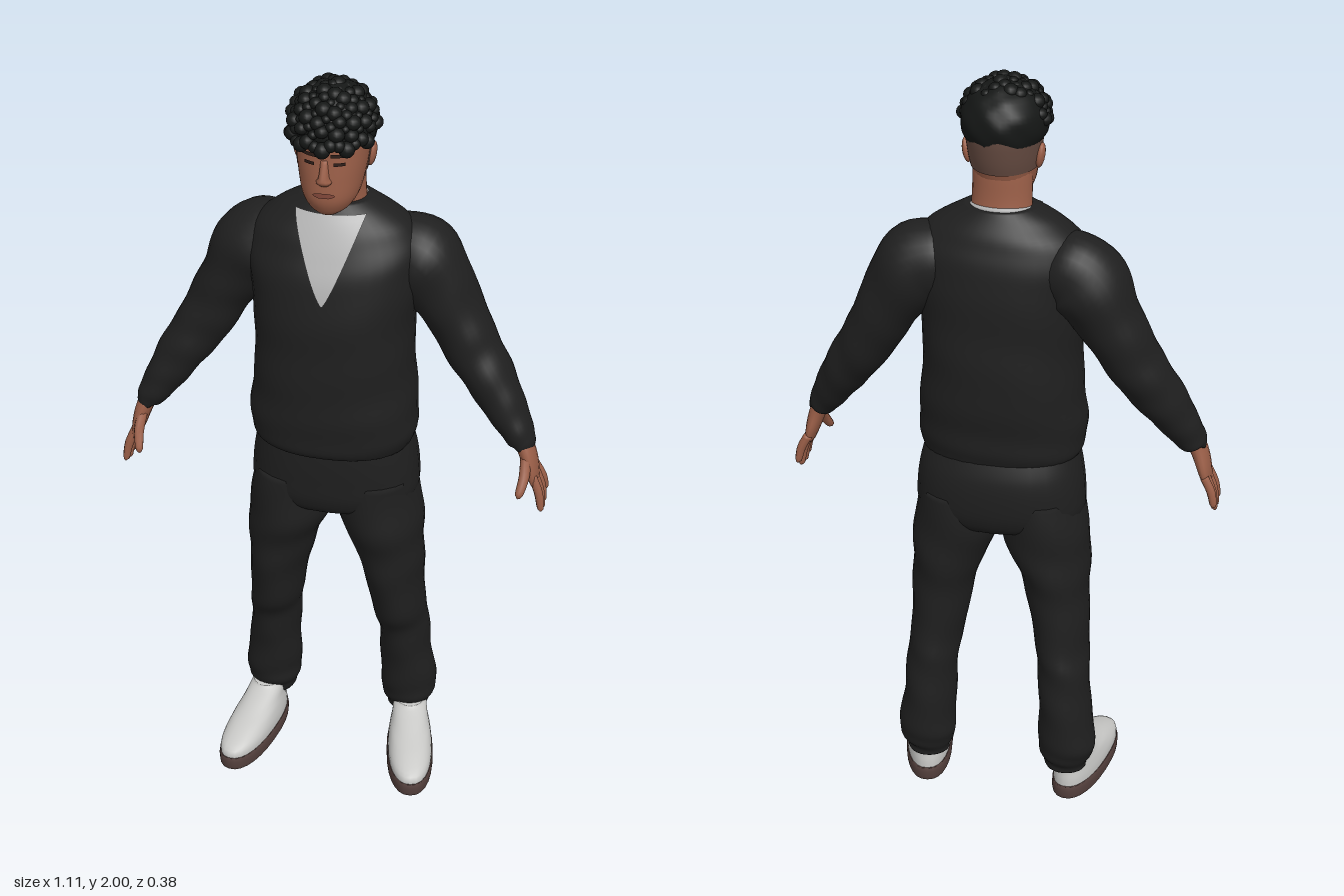
import * as THREE from 'three';

const mat = (name, color, side = THREE.FrontSide) => {
  const m = new THREE.MeshStandardMaterial({ color, side });
  m.name = name;
  return m;
};
const M = {
  cloth: mat('black cloth', 0x1f1f1f),
  hair: mat('black hair', 0x151716),
  skin: mat('skin', 0x9b5f48),
  fade: mat('shaved hair', 0x674c42, THREE.DoubleSide),
  shirt: mat('grey shirt', 0xb4b4b4, THREE.DoubleSide),
  shoe: mat('white shoe', 0xc8c8c6),
  sole: mat('brown sole', 0x54403d),
  lips: mat('lips', 0x84493b, THREE.DoubleSide),
  brow: mat('brow and eye', 0x2c1d18, THREE.DoubleSide),
};

// Smooth interpolation of cross-section rows [x, y, z, rx, rz, exponent]
function rowAt(rows, t) {
  const f = Math.min(Math.max(t, 0), 1) * (rows.length - 1);
  const i = Math.min(Math.floor(f), rows.length - 2), s = f - i;
  const r = k => rows[Math.min(Math.max(k, 0), rows.length - 1)];
  return [0, 1, 2, 3, 4, 5].map(k => {
    const [a, b, c, d] = [i - 1, i, i + 1, i + 2].map(j => r(j)[k] ?? 2);
    return b + 0.5 * s * (c - a + s * (2 * a - 5 * b + 4 * c - d + s * (3 * (b - c) + d - a)));
  });
}
// Row of an upward loft at a given height
function rowAtY(rows, y) {
  let lo = 0, hi = 1;
  for (let i = 0; i < 24; i++) {
    const m = (lo + hi) / 2;
    if (rowAt(rows, m)[1] < y) lo = m; else hi = m;
  }
  return rowAt(rows, lo);
}

// Surface from point(u, v); faces look along du x dv
function grid(point, nu, nv, wrap = false) {
  const pos = [], idx = [], cols = wrap ? nu : nu + 1;
  for (let j = 0; j <= nv; j++)
    for (let i = 0; i < cols; i++) pos.push(...point(i / nu, j / nv));
  for (let j = 0; j < nv; j++)
    for (let i = 0; i < nu; i++) {
      const n = (i + 1) % cols, a = j * cols + i, b = j * cols + n, c = a + cols, d = b + cols;
      idx.push(a, b, d, a, d, c);
    }
  if (wrap) {
    for (const j of [0, nv]) {
      const mid = [0, 0, 0];
      for (let i = 0; i < cols; i++) for (let k = 0; k < 3; k++) mid[k] += pos[(j * cols + i) * 3 + k] / cols;
      const c = pos.length / 3;
      pos.push(...mid);
      for (let i = 0; i < cols; i++) {
        const a = j * cols + i, b = j * cols + (i + 1) % cols;
        idx.push(...(j ? [a, b, c] : [b, a, c]));
      }
    }
  }
  const g = new THREE.BufferGeometry();
  g.setAttribute('position', new THREE.Float32BufferAttribute(pos, 3));
  g.setIndex(idx);
  g.computeVertexNormals();
  return g;
}

// Closed loft; flat keeps rings level, otherwise they follow the path
function loft(rows, { flat = true, sides = 28, steps = 40, wrinkle = 0 } = {}) {
  const down = rows[rows.length - 1][1] < rows[0][1] ? -1 : 1;
  return grid((u, v) => {
    const [x, y, z, rx, rz, n] = rowAt(rows, v);
    const t = new THREE.Vector3(0, down, 0);
    if (!flat) {
      const p = rowAt(rows, v - 0.02), q = rowAt(rows, v + 0.02);
      t.set(q[0] - p[0], q[1] - p[1], q[2] - p[2]).normalize();
    }
    const w = new THREE.Vector3(0, 0, 1).addScaledVector(t, -t.z).normalize();
    const s = new THREE.Vector3().crossVectors(w, t);
    const a = u * Math.PI * 2, sq = k => Math.sign(k) * Math.abs(k) ** (2 / n);
    const f = 1 + wrinkle * (Math.sin(v * 47 + 2 * Math.sin(a + 1)) + 0.7 * Math.sin(v * 29 + a * 3));
    return new THREE.Vector3(x, y, z)
      .addScaledVector(s, sq(Math.cos(a)) * rx * f).addScaledVector(w, sq(Math.sin(a)) * rz * f).toArray();
  }, sides, steps, true);
}

// Thin patch lying on the front of a loft
function frontPatch(rows, cx, y0, y1, half, off = 0.004) {
  return grid((u, v) => {
    const y = y0 + (y1 - y0) * v, x = cx + (2 * u - 1) * half(v);
    const [, , z, rx, rz, n] = rowAtY(rows, y);
    return [x, y, z + off + rz * Math.max(0, 1 - Math.abs(x / rx) ** n) ** (1 / n)];
  }, 12, 16);
}

export function createModel() {
  const model = new THREE.Group();
  const add = (name, geo, material, parent = model) => {
    const m = new THREE.Mesh(geo, material);
    m.name = name;
    parent.add(m);
    return m;
  };
  const ball = (name, material, p, s, parent) => {
    const m = add(name, new THREE.SphereGeometry(1, 14, 10), material, parent);
    m.position.set(...p);
    m.scale.set(...s);
    return m;
  };

  // Sweater body and shirt in the V neck
  const torso = [
    [0, 1.015, -0.015, 0.17, 0.125, 2.3], [0, 1.025, -0.015, 0.2, 0.148, 2.3], [0, 1.06, -0.015, 0.212, 0.158, 2.3],
    [0, 1.12, -0.015, 0.214, 0.162, 2.3], [0, 1.2, -0.02, 0.206, 0.168, 2.3], [0, 1.3, -0.02, 0.2, 0.168, 2.3],
    [0, 1.4, -0.02, 0.204, 0.164, 2.3], [0, 1.5, -0.025, 0.214, 0.154, 2.3], [0, 1.57, -0.032, 0.218, 0.135, 2.2],
    [0, 1.62, -0.035, 0.195, 0.115, 2.1], [0, 1.66, -0.035, 0.145, 0.093, 2], [0, 1.69, -0.035, 0.088, 0.072, 2],
  ];
  add('sweater', loft(torso, { sides: 40, steps: 60, wrinkle: 0.006 }), M.cloth);
  add('shirt', frontPatch(torso, 0, 1.465, 1.672, v => 0.002 + 0.086 * v ** 0.85, 0.006), M.shirt);
  const collar = add('shirtCollar', new THREE.TorusGeometry(0.075, 0.008, 8, 32), M.shirt);
  collar.rotation.x = Math.PI / 2 + 0.15;
  collar.position.set(0, 1.68, -0.03);
  collar.scale.y = 0.88;

  // Trousers
  add('hips', loft([
    [0, 0.8, -0.035, 0.06, 0.06], [0, 0.83, -0.035, 0.19, 0.12, 2.2], [0, 0.87, -0.036, 0.217, 0.143, 2.3],
    [0, 0.93, -0.037, 0.217, 0.149, 2.3], [0, 0.99, -0.034, 0.209, 0.147, 2.3], [0, 1.05, -0.025, 0.195, 0.135, 2.3],
  ]), M.cloth);

  for (const [side, label] of [[1, 'left'], [-1, 'right']]) {
    const flip = rows => rows.map(([x, ...rest]) => [x * side, ...rest]);
    const limb = new THREE.Group();
    limb.name = label + 'Limbs';
    model.add(limb);

    add(label + 'TrouserLeg', loft(flip([
      [0.108, 0.92, -0.036, 0.1, 0.135], [0.117, 0.8, -0.035, 0.113, 0.137], [0.14, 0.7, -0.04, 0.094, 0.125],
      [0.155, 0.6, -0.045, 0.08, 0.114], [0.168, 0.48, -0.06, 0.071, 0.106], [0.178, 0.4, -0.082, 0.068, 0.092],
      [0.184, 0.3, -0.093, 0.069, 0.087], [0.192, 0.2, -0.1, 0.076, 0.08], [0.192, 0.15, -0.1, 0.073, 0.072],
      [0.19, 0.12, -0.1, 0.06, 0.056], [0.19, 0.1, -0.1, 0.054, 0.052],
    ]), { steps: 64, wrinkle: 0.018 }), M.cloth, limb);

    add(label + 'Sleeve', loft(flip([
      [0.13, 1.55, -0.055, 0.085, 0.085], [0.205, 1.52, -0.058, 0.106, 0.104], [0.28, 1.41, -0.06, 0.08, 0.09],
      [0.34, 1.3, -0.05, 0.071, 0.08], [0.4, 1.21, -0.03, 0.062, 0.071], [0.45, 1.13, -0.01, 0.049, 0.057],
      [0.484, 1.075, 0.003, 0.036, 0.045], [0.488, 1.065, 0.004, 0.028, 0.035],
    ]), { flat: false, steps: 56, wrinkle: 0.018 }), M.cloth, limb);

    // Hand: palm, four fingers and thumb
    add(label + 'Palm', loft(flip([
      [0.48, 1.09, 0.004, 0.024, 0.03], [0.5, 1.045, 0.01, 0.022, 0.038], [0.514, 1.0, 0.01, 0.018, 0.045],
      [0.523, 0.965, 0.008, 0.012, 0.041],
    ]), { flat: false, sides: 16, steps: 12 }), M.skin, limb);
    const digit = (name, a, b, r) => {
      const mid = a.map((k, i) => (k + b[i]) / 2 + (i === 0 ? 0.005 : 0));
      add(name, loft(flip([[...a, r, r], [...mid, r, r], [...b, r * 0.75, r * 0.75],
        [b[0] - 0.001, b[1] - 0.006, b[2], r * 0.2, r * 0.2]]), { flat: false, sides: 8, steps: 12 }), M.skin, limb);
    };
    [[0.043, 0.9], [0.018, 0.892], [-0.008, 0.895], [-0.032, 0.915]].forEach(([z, tip], i) =>
      digit(label + 'Finger' + (i + 1), [0.52, 0.985, z * 0.85], [0.546, tip, z * 1.1], 0.0115));
    digit(label + 'Thumb', [0.5, 1.035, 0.035], [0.495, 0.962, 0.092], 0.0135);

    // Shoe, turned outward
    const shoe = new THREE.Group();
    shoe.name = label + 'Shoe';
    shoe.position.set(0.222 * side, 0, 0.027);
    shoe.rotation.y = 0.2 * side;
    limb.add(shoe);
    add(label + 'Sole', loft([[0, 0, 0, 0.058, 0.16, 2.3], [0, 0.006, 0, 0.063, 0.167, 2.3],
      [0, 0.03, 0, 0.064, 0.169, 2.3], [0, 0.042, 0, 0.061, 0.166, 2.3]], { steps: 9 }), M.sole, shoe);
    add(label + 'ShoeUpper', loft([
      [0, 0.03, 0, 0.06, 0.164, 2.3], [0, 0.06, -0.002, 0.06, 0.161, 2.3], [0, 0.085, -0.028, 0.055, 0.132, 2.2],
      [0, 0.105, -0.062, 0.049, 0.1], [0, 0.13, -0.1, 0.045, 0.064], [0, 0.14, -0.105, 0.042, 0.055],
    ], { steps: 20 }), M.shoe, shoe);
  }

  // Head and neck
  const head = [
    [0, 1.685, 0.055, 0.026, 0.03], [0, 1.7, 0.042, 0.05, 0.056], [0, 1.73, 0.02, 0.069, 0.089, 2.2],
    [0, 1.78, 0.008, 0.08, 0.101, 2.2], [0, 1.83, 0, 0.087, 0.106, 2.2], [0, 1.88, -0.003, 0.091, 0.108],
    [0, 1.94, -0.005, 0.08, 0.094], [0, 1.975, -0.005, 0.035, 0.04],
  ];
  add('head', loft(head, { sides: 36 }), M.skin);
  add('neck', loft([[0, 1.62, -0.045, 0.08, 0.065], [0, 1.7, -0.032, 0.074, 0.06],
    [0, 1.77, -0.022, 0.073, 0.066], [0, 1.8, -0.015, 0.07, 0.07]]), M.skin);
  add('nose', loft([[0, 1.772, 0.103, 0.012, 0.012], [0, 1.782, 0.107, 0.019, 0.02],
    [0, 1.795, 0.106, 0.013, 0.021], [0, 1.835, 0.1, 0.009, 0.01]], { sides: 12, steps: 12 }), M.skin);
  add('mouth', frontPatch(head, 0, 1.741, 1.754, v => 0.027 * Math.sin(Math.PI * (0.15 + 0.7 * v))), M.lips);
  for (const s of [1, -1]) {
    add('eye', frontPatch(head, 0.036 * s, 1.823, 1.831, () => 0.013), M.brow);
    add('eyebrow', frontPatch(head, 0.038 * s, 1.844, 1.853, () => 0.022), M.brow);
    ball('ear', M.skin, [0.09 * s, 1.81, -0.015], [0.011, 0.032, 0.02]).rotation.z = -0.15 * s;
  }

  // Shaved band around the back and sides
  add('shavedBand', grid((u, v) => {
    const a = Math.PI * (0.95 + 1.1 * u), [, y, z, rx, rz] = rowAtY(head, 1.78 + 0.09 * v);
    return [-Math.cos(a) * (rx + 0.004), y, z + Math.sin(a) * (rz + 0.004)];
  }, 32, 8), M.fade);

  // Hair cap, cut higher over the face, with curls on top and fringe
  const cap = new THREE.SphereGeometry(1, 48, 32), p = cap.attributes.position;
  for (let i = 0; i < p.count; i++) {
    const x = p.getX(i), y = p.getY(i), z = p.getZ(i);
    const f = 1 + 0.02 * Math.sin(9 * x + 4 * z) * Math.sin(8 * y + 5 * z);
    const low = 1.85 + 0.022 * z + 0.012 * Math.max(0, z);
    p.setXYZ(i, x * 0.106 * f, Math.max(low, 1.892 + y * 0.098 * f), -0.002 + z * 0.118 * f);
  }
  cap.computeVertexNormals();
  add('hairCap', cap, M.hair);
  for (let i = 0; i < 110; i++) {
    const h = 1 - 0.95 * (i / 110), a = i * 2.39996, r = Math.sqrt(1 - h * h);
    const z = r * Math.cos(a);
    if (z < -0.35 && h < 0.8) continue;
    const s = 0.015 + 0.005 * Math.sin(i * 1.7);
    ball('curl', M.hair, [r * Math.sin(a) * 0.1, 1.892 + h * 0.09, 0.004 + z * 0.115],
      [s, s * 0.9, s * 1.1]);
  }
  for (let i = 0; i < 13; i++) {
    const a = (i / 12 - 0.5) * 2.3, s = 0.017 + 0.003 * Math.sin(i * 2.3);
    ball('fringeCurl', M.hair, [Math.sin(a) * 0.1, 1.878 + 0.008 * Math.sin(i * 1.9), 0.006 + Math.cos(a) * 0.122], [s, s, s]);
  }
  return model;
}
